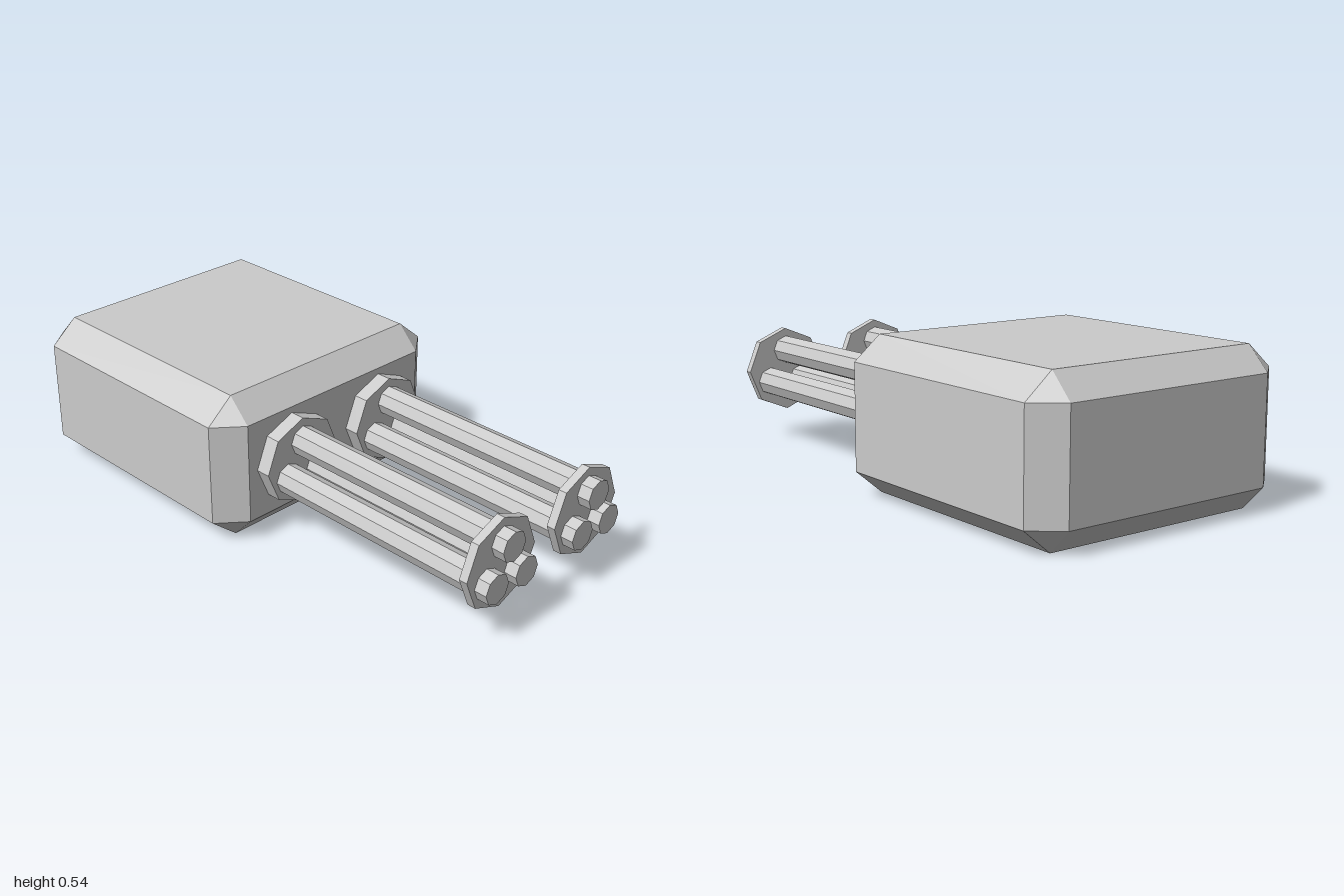
import * as THREE from 'three';
import { ConvexGeometry } from 'three/addons/geometries/ConvexGeometry.js';

const material = new THREE.MeshStandardMaterial({ color: 0xcccccc, flatShading: true });

// Box with flat chamfers along every edge and triangular corners
function chamferedBox(hx, hy, hz, bx, by, bz) {
  const points = [];
  for (const sx of [-1, 1]) for (const sy of [-1, 1]) for (const sz of [-1, 1]) {
    points.push(
      new THREE.Vector3(sx * hx, sy * (hy - by), sz * (hz - bz)),
      new THREE.Vector3(sx * (hx - bx), sy * hy, sz * (hz - bz)),
      new THREE.Vector3(sx * (hx - bx), sy * (hy - by), sz * hz)
    );
  }
  return new ConvexGeometry(points);
}

// Eight-sided cylinder running along z from z0 to z1
function octagon(name, radius, x, y, z0, z1) {
  const geometry = new THREE.CylinderGeometry(radius, radius, z1 - z0, 8);
  geometry.rotateX(Math.PI / 2);
  const mesh = new THREE.Mesh(geometry, material);
  mesh.name = name;
  mesh.position.set(x, y, (z0 + z1) / 2);
  return mesh;
}

// Three barrels held by a base plate and a thin plate near the muzzles
function barrelCluster(name, x) {
  const cluster = new THREE.Group();
  cluster.name = name;
  cluster.position.set(x, 0.27, 0);
  cluster.add(octagon('basePlate', 0.16, 0, 0, 0.03, 0.09));
  cluster.add(octagon('muzzlePlate', 0.16, 0, 0, 0.925, 0.955));
  for (let i = 0; i < 3; i++) {
    const a = Math.PI / 2 + (i * Math.PI * 2) / 3;
    cluster.add(octagon('barrel' + (i + 1), 0.053, 0.08 * Math.cos(a), 0.08 * Math.sin(a) - 0.003, 0.05, 1));
  }
  return cluster;
}

export function createModel() {
  const model = new THREE.Group();
  model.name = 'twinBarrelTurret';

  // Housing
  const housing = new THREE.Mesh(chamferedBox(0.506, 0.268, 0.518, 0.1, 0.084, 0.081), material);
  housing.name = 'housing';
  housing.position.set(0, 0.268, -0.482);
  model.add(housing);

  // Barrel clusters
  model.add(barrelCluster('leftBarrels', 0.209), barrelCluster('rightBarrels', -0.209));
  return model;
}
